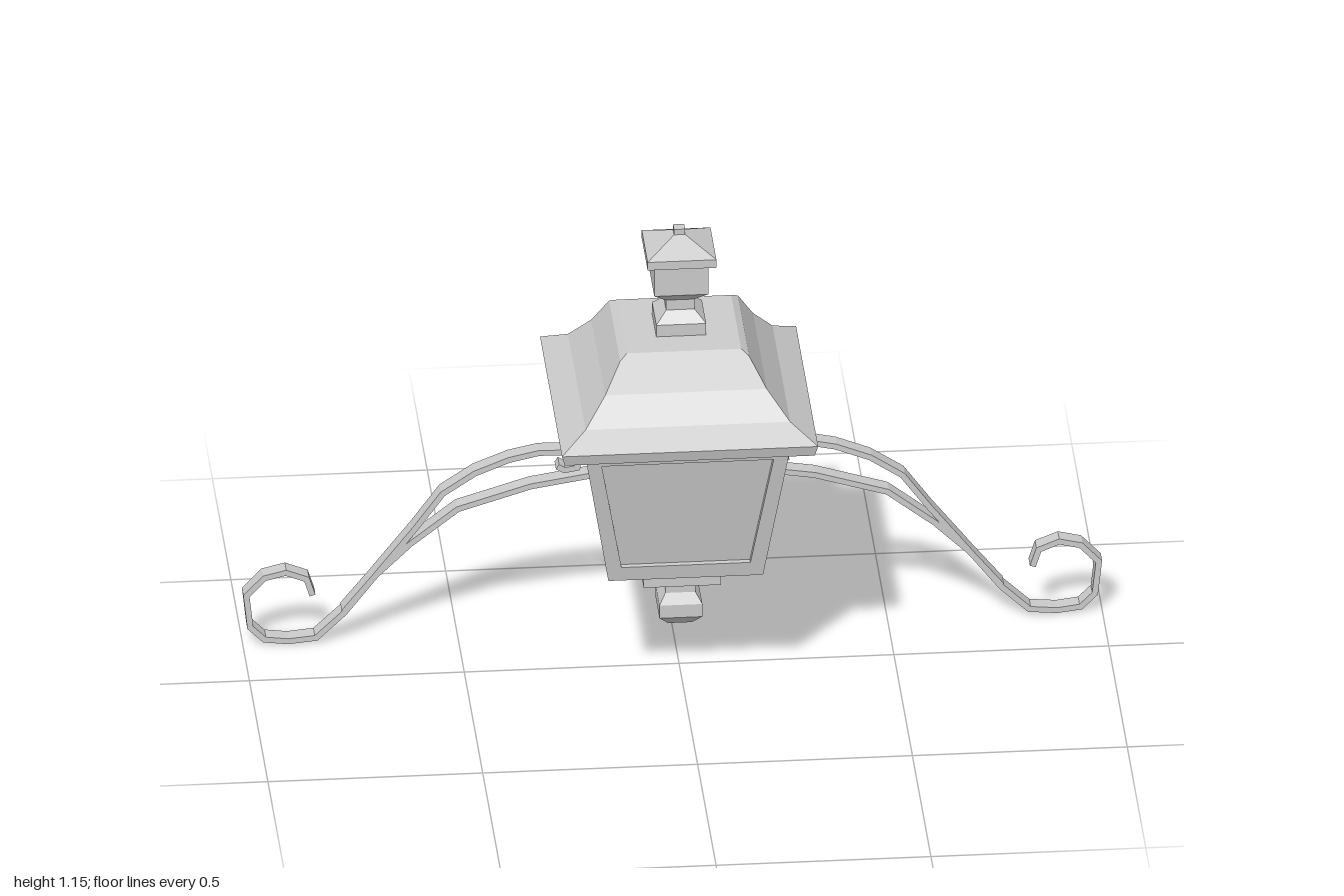
import * as THREE from 'three';

const material = new THREE.MeshStandardMaterial({ color: 0xcccccc, flatShading: true, side: THREE.DoubleSide });

function addMesh(parent, name, geometry) {
  const mesh = new THREE.Mesh(geometry, material);
  mesh.name = name;
  parent.add(mesh);
  return mesh;
}

// Square turning: profile of [half width, height], listed from bottom to top
function squareTurning(profile) {
  const points = profile.map(([w, y]) => new THREE.Vector2(w * Math.SQRT2, y));
  return new THREE.LatheGeometry(points, 4, Math.PI / 4).toNonIndexed();
}

// One sloping lantern wall: frame border, reveal and recessed pane
function wallGeometry() {
  const planeZ = y => 0.18 + (y - 0.32) * (0.06 / 0.368);
  const ring = (w0, y0, w1, y1, inset) => [[-w0, y0], [w0, y0], [w1, y1], [-w1, y1]]
    .map(([x, y]) => [x, y, planeZ(y) - inset]);
  const rings = [
    ring(0.18, 0.32, 0.24, 0.688, 0),
    ring(0.15, 0.357, 0.2, 0.65, 0),
    ring(0.15, 0.357, 0.2, 0.65, 0.015),
  ];
  const positions = [];
  const quad = (a, b, c, d) => positions.push(...a, ...b, ...c, ...a, ...c, ...d);
  for (let r = 0; r < 2; r++) {
    for (let i = 0; i < 4; i++) {
      const j = (i + 1) % 4;
      quad(rings[r][i], rings[r][j], rings[r + 1][j], rings[r + 1][i]);
    }
  }
  quad(...rings[2]);
  const geometry = new THREE.BufferGeometry();
  geometry.setAttribute('position', new THREE.Float32BufferAttribute(positions, 3));
  geometry.computeVertexNormals();
  return geometry;
}

// Flat iron strip following a polyline with mitred bends
function stripGeometry(path, side) {
  const half = 0.007;
  const pts = path.map(([x, y]) => new THREE.Vector2(x * side, y));
  const normal = (a, b) => new THREE.Vector2(a.y - b.y, b.x - a.x).normalize();
  const left = [], right = [];
  pts.forEach((p, i) => {
    const n0 = normal(pts[Math.max(i - 1, 0)], pts[Math.max(i, 1)]);
    const last = pts.length - 1;
    const n1 = normal(pts[Math.min(i, last - 1)], pts[Math.min(i + 1, last)]);
    const mitre = n0.clone().add(n1).normalize();
    mitre.multiplyScalar(half / Math.max(mitre.dot(n0), 0.5));
    left.push(p.clone().add(mitre));
    right.unshift(p.clone().sub(mitre));
  });
  const geometry = new THREE.ExtrudeGeometry(new THREE.Shape([...left, ...right]), { depth: 0.038, bevelEnabled: false });
  return geometry.translate(0, 0, -0.21);
}

export function createModel() {
  const model = new THREE.Group();
  model.name = 'lantern';

  // Base and hanging finial
  addMesh(model, 'baseFinial', squareTurning([
    [0, 0.122], [0.028, 0.122], [0.05, 0.147], [0.05, 0.18], [0.035, 0.205], [0.035, 0.228],
    [0.09, 0.25], [0.09, 0.303], [0.18, 0.321],
  ]));

  // Four framed walls
  for (let i = 0; i < 4; i++) {
    addMesh(model, 'wall' + (i + 1), wallGeometry()).rotation.y = i * Math.PI / 2;
  }

  // Flared roof with eaves
  addMesh(model, 'roof', squareTurning([
    [0, 0.687], [0.291, 0.687], [0.298, 0.714], [0.238, 0.75], [0.188, 0.812],
    [0.15, 0.88], [0.133, 0.891], [0, 0.891],
  ]));

  // Chimney and cap on top
  addMesh(model, 'chimney', squareTurning([
    [0.058, 0.89], [0.058, 0.921], [0.033, 0.947], [0.033, 0.973], [0.063, 1.0], [0.063, 1.078],
    [0.08, 1.078], [0.08, 1.099], [0.013, 1.133], [0.013, 1.147], [0, 1.147],
  ]));

  // Scrolled bracket arms on both sides
  const scroll = [
    [0.268, 0.437], [0.252, 0.427], [0.222, 0.432], [0.22, 0.453], [0.24, 0.473], [0.31, 0.475],
    [0.38, 0.46], [0.46, 0.428], [0.535, 0.378], [0.6, 0.288], [0.675, 0.192], [0.765, 0.075], [0.83, 0.013],
    [0.895, 0.007], [0.95, 0.014], [0.983, 0.047], [0.992, 0.13], [0.95, 0.175], [0.9, 0.187],
    [0.852, 0.168], [0.838, 0.125],
  ];
  const brace = [[0.19, 0.41], [0.33, 0.388], [0.5, 0.336], [0.61, 0.25], [0.69, 0.172], [0.765, 0.079]];
  for (const [label, side] of [['left', 1], ['right', -1]]) {
    const arm = new THREE.Group();
    arm.name = label + 'Arm';
    addMesh(arm, label + 'Scroll', stripGeometry(scroll, side));
    addMesh(arm, label + 'Brace', stripGeometry(brace, side));
    model.add(arm);
  }
  return model;
}
